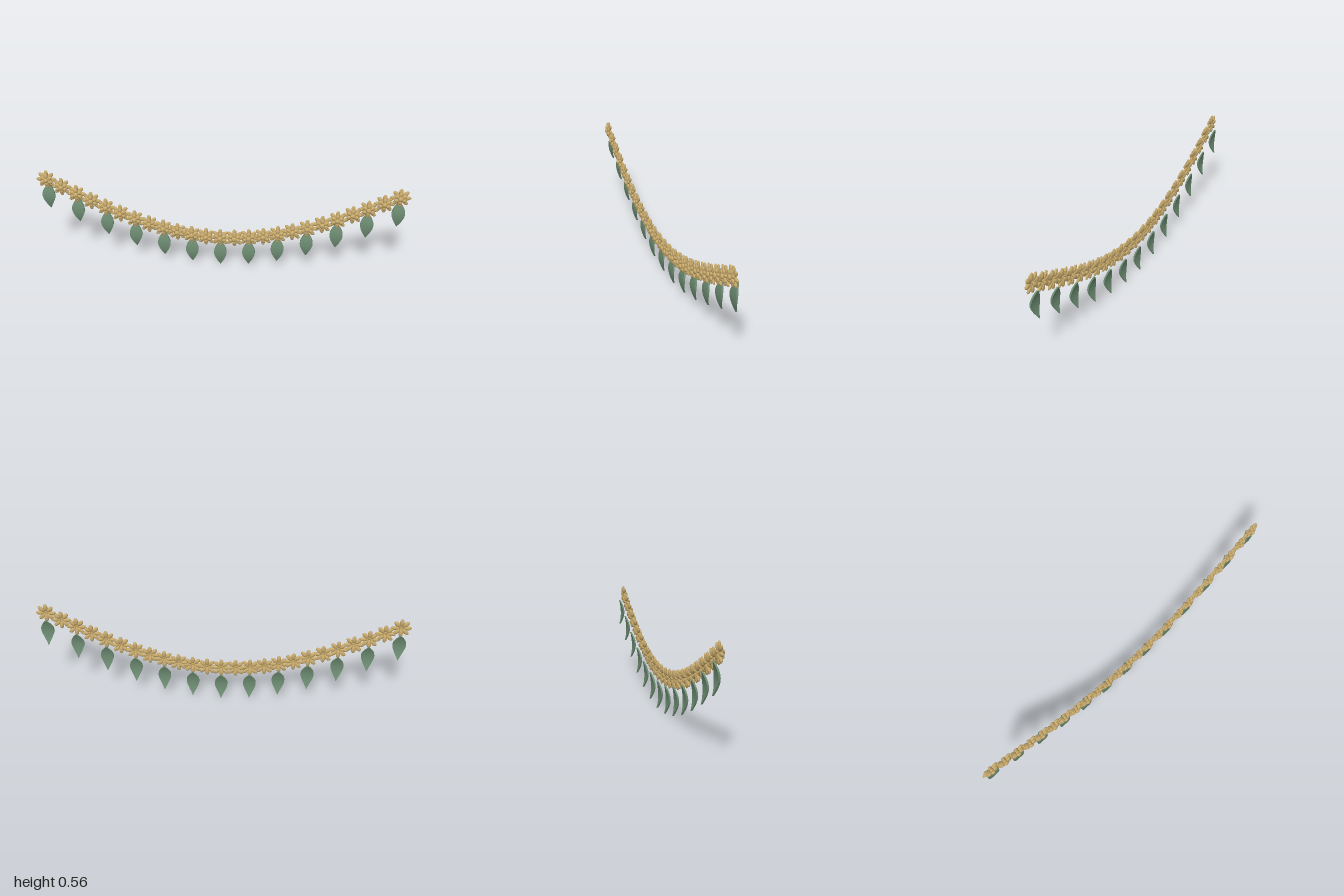
import * as THREE from 'three';

const END = 0.945;      // x of the last flower
const FLOWERS = 25;

// Height of the hanging line at x
const swag = x => 0.194 + 0.312 * (1 - Math.cos((Math.PI / 2) * x / END));

// Arched leaf of even thickness, pointed at both ends, centred on its middle
function leafGeometry() {
  const geo = new THREE.BoxGeometry(2, 2, 1, 6, 20, 1);
  const p = geo.attributes.position;
  const outline = new THREE.CatmullRomCurve3([
    [0.001, -1], [0.008, -0.8], [0.02, -0.5], [0.032, -0.12],
    [0.035, 0.12], [0.032, 0.4], [0.019, 0.72], [0.001, 1],
  ].map(([w, t]) => new THREE.Vector3(w, t, 0)));
  const samples = outline.getPoints(80);
  const halfWidth = t => {
    const i = Math.max(1, samples.findIndex(s => s.y >= t - 1e-6));
    const a = samples[i - 1], b = samples[i];
    return THREE.MathUtils.mapLinear(t, a.y, b.y, a.x, b.x);
  };
  for (let i = 0; i < p.count; i++) {
    const t = p.getY(i);
    p.setXYZ(i, p.getX(i) * halfWidth(t), t * 0.0775,
      -0.005 - 0.018 * t * t + p.getZ(i) * 0.009);
  }
  geo.computeVertexNormals();
  return geo;
}

export function createModel() {
  const garland = new THREE.Group();
  garland.name = 'garland';
  const petalMat = new THREE.MeshStandardMaterial({ color: 0xc8aa6c });
  const leafMat = new THREE.MeshStandardMaterial({ color: 0x6d8c72 });
  const ball = new THREE.SphereGeometry(1, 12, 8);
  const leafGeo = leafGeometry();

  // One ring of egg-shaped petals
  function addRing(flower, name, count, radius, z, length, width, depth, turn) {
    for (let i = 0; i < count; i++) {
      const a = turn + (i / count) * Math.PI * 2;
      const petal = new THREE.Mesh(ball, petalMat);
      petal.name = name;
      petal.position.set(Math.cos(a) * radius, Math.sin(a) * radius, z);
      petal.rotation.z = a;
      petal.scale.set(length, width, depth);
      flower.add(petal);
    }
  }

  for (let i = 0; i < FLOWERS; i++) {
    const x = THREE.MathUtils.lerp(-END, END, i / (FLOWERS - 1));

    // Flower: two petal rings and a round heart
    const flower = new THREE.Group();
    flower.name = 'flower';
    flower.position.set(x, swag(x), 0);
    addRing(flower, 'outerPetal', 8, 0.033, 0.002, 0.022, 0.0115, 0.008, 0);
    addRing(flower, 'innerPetal', 6, 0.022, 0.011, 0.015, 0.0105, 0.008, Math.PI / 6);
    const heart = new THREE.Mesh(ball, petalMat);
    heart.name = 'flowerHeart';
    heart.position.z = 0.018;
    heart.scale.set(0.014, 0.014, 0.01);
    flower.add(heart);
    garland.add(flower);

    // A leaf hangs under every second flower
    if (i % 2 === 0) {
      const leaf = new THREE.Mesh(leafGeo, leafMat);
      leaf.name = 'leaf';
      leaf.position.set(x, swag(x) - 0.1125, 0);
      garland.add(leaf);
    }
  }

  // Rest the lowest leaf tip on the ground
  garland.position.y = -new THREE.Box3().setFromObject(garland, true).min.y;
  return garland;
}
